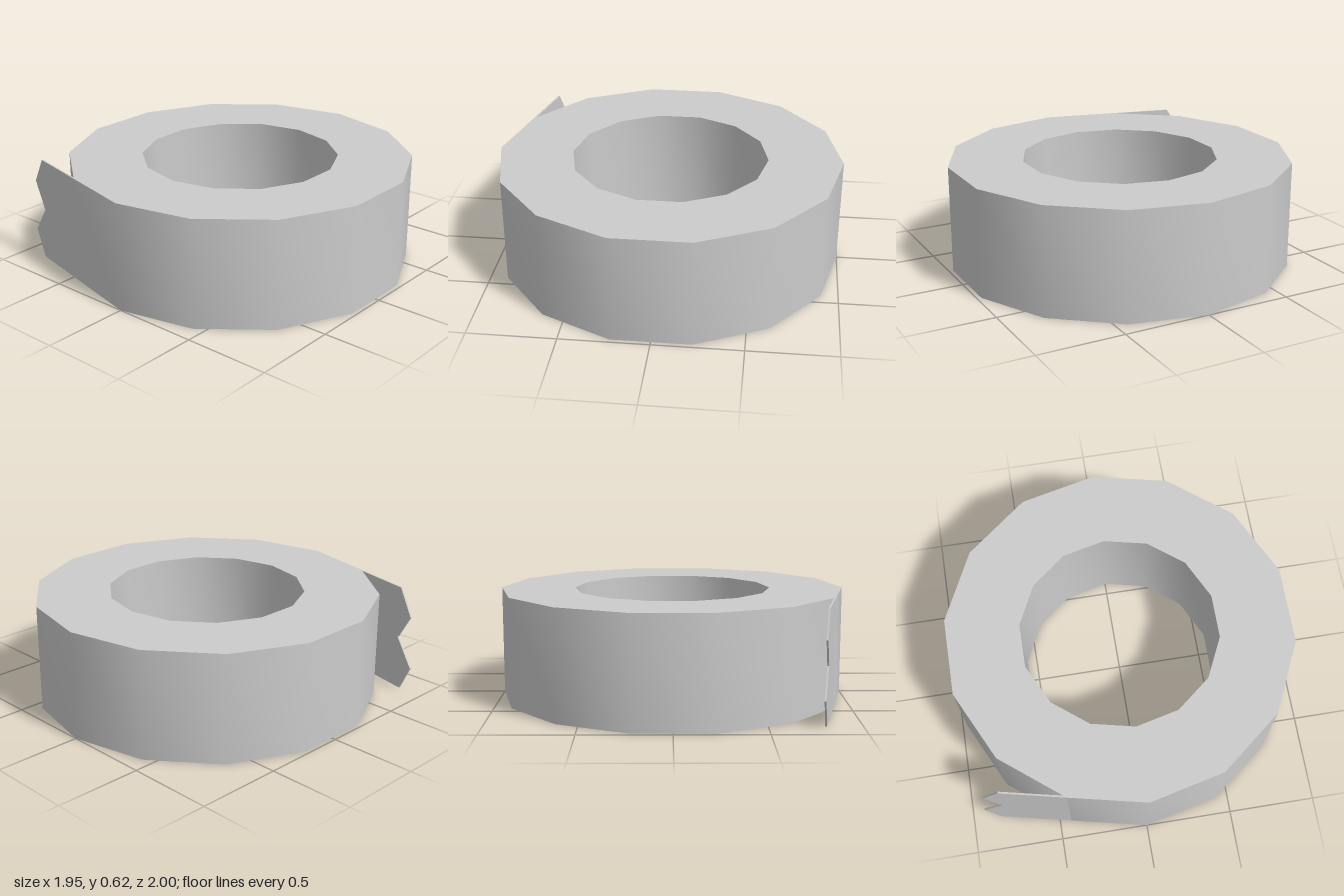
import * as THREE from 'three';
import { toCreasedNormals } from 'three/addons/utils/BufferGeometryUtils.js';

const SIDES = 14, OUTER = 1, INNER = 0.57, HEIGHT = 0.625;

export function createModel() {
  const group = new THREE.Group();
  group.name = 'tapeRoll';
  const material = new THREE.MeshStandardMaterial({ color: 0xcccccc });

  // Roll: rectangular section turned around y, smooth walls and sharp rims
  const section = [
    [OUTER, 0], [OUTER, HEIGHT], [INNER, HEIGHT], [INNER, 0], [OUTER, 0],
  ].map(([r, y]) => new THREE.Vector2(r, y));
  const roll = new THREE.Mesh(
    toCreasedNormals(new THREE.LatheGeometry(section, SIDES), Math.PI / 4), material);
  roll.name = 'roll';
  group.add(roll);

  // Loose end: thin strip continuing one outer facet, with a zigzag torn edge
  const step = (2 * Math.PI) / SIDES;
  const rootX = -OUTER * Math.sin(step), rootZ = OUTER * Math.cos(step);
  const tornEdge = [[-0.84, 0], [-0.92, 0.155], [-0.8, 0.315], [-0.895, 0.47], [-0.8, HEIGHT]];
  const outline = [
    [0, HEIGHT], ...tornEdge.reverse().map(([x, y]) => [(x - rootX) / Math.cos(step / 2), y]), [0, 0],
  ].map(([x, y]) => new THREE.Vector2(x, y));
  const thickness = 0.01;
  const strip = new THREE.ExtrudeGeometry(new THREE.Shape(outline), { depth: thickness, bevelEnabled: false });
  strip.translate(0, 0, -thickness);
  const looseEnd = new THREE.Mesh(strip, material);
  looseEnd.name = 'looseEnd';
  looseEnd.position.set(rootX, 0, rootZ);
  looseEnd.rotation.y = -step / 2;
  group.add(looseEnd);

  return group;
}
